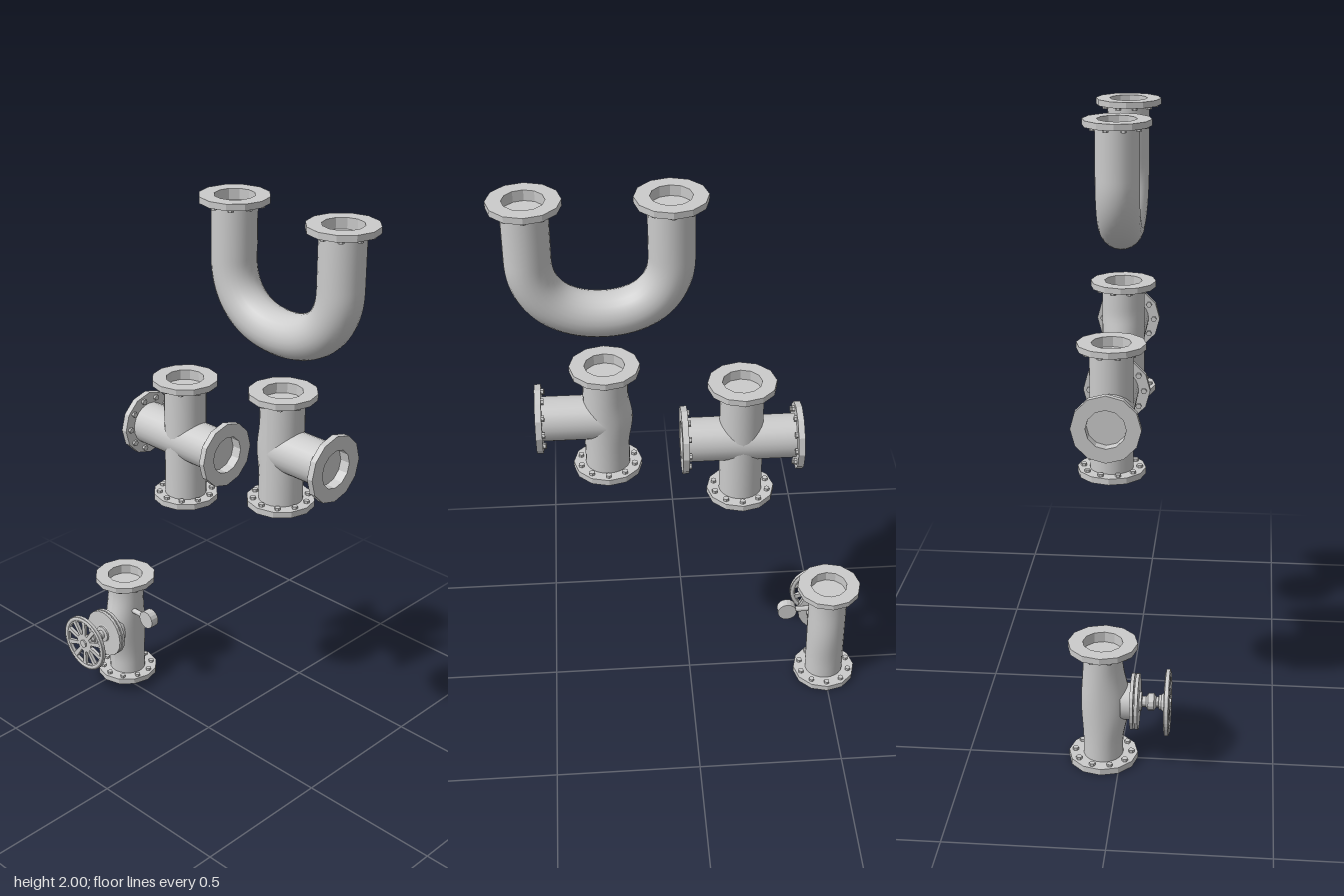
import * as THREE from 'three';

const FLANGE_R = 0.113, BORE_R = 0.065, PIPE_R = 0.073;
const V = (x, y, z = 0) => new THREE.Vector3(x, y, z);
const smooth = new THREE.MeshStandardMaterial({ color: 0xcccccc });
const faceted = new THREE.MeshStandardMaterial({ color: 0xcccccc, flatShading: true });

function add(parent, name, geometry, material = smooth) {
  const mesh = new THREE.Mesh(geometry, material);
  mesh.name = name;
  parent.add(mesh);
  return mesh;
}

function lathe(points, sides) {
  return new THREE.LatheGeometry(points.map(([r, y]) => new THREE.Vector2(r, y)), sides);
}

// Flange facing +y with a recessed bore and a ring of bolts behind it
function addFlange(parent, position, direction) {
  const flange = new THREE.Group();
  flange.name = 'flange';
  add(flange, 'flangeRing', lathe([
    [0.055, -0.021], [FLANGE_R, -0.021], [FLANGE_R, 0], [BORE_R, 0], [BORE_R, -0.035], [0, -0.035],
  ], 12), faceted);
  const bolt = new THREE.CylinderGeometry(0.01, 0.01, 0.01, 6);
  for (let i = 0; i < 10; i++) {
    const a = (i + 0.5) / 10 * Math.PI * 2;
    add(flange, 'bolt', bolt, faceted).position.set(Math.cos(a) * 0.092, -0.025, Math.sin(a) * 0.092);
  }
  flange.position.copy(position);
  flange.quaternion.setFromUnitVectors(V(0, 1), direction);
  parent.add(flange);
}

// Straight pipe between two points, stopping just inside the flanges
function addPipe(parent, name, from, to, radius = PIPE_R) {
  const span = to.clone().sub(from);
  const pipe = add(parent, name, new THREE.CylinderGeometry(radius, radius, span.length(), 24, 24, true));
  pipe.position.copy(from).addScaledVector(span, 0.5);
  pipe.quaternion.setFromUnitVectors(V(0, 1), span.normalize());
  return pipe;
}

// Push vertices by a rule, then refresh the normals
function deform(mesh, rule) {
  const p = mesh.geometry.attributes.position, v = V(0, 0);
  for (let i = 0; i < p.count; i++) {
    v.fromBufferAttribute(p, i);
    rule(v);
    p.setXYZ(i, v.x, v.y, v.z);
  }
  mesh.geometry.computeVertexNormals();
}
const bump = (y, half) => Math.abs(y) < half ? 0.5 + 0.5 * Math.cos(Math.PI * y / half) : 0;

function makeUBend() {
  const g = new THREE.Group();
  g.name = 'uBend';
  const w = 0.218, top = 0.2, drop = -0.198;
  const path = new THREE.CurvePath();
  path.add(new THREE.LineCurve3(V(-w, top - 0.015), V(-w, 0)));
  path.add(new THREE.CubicBezierCurve3(V(-w, 0), V(-w, -0.128), V(-0.125, drop), V(0, drop)));
  path.add(new THREE.CubicBezierCurve3(V(0, drop), V(0.125, drop), V(w, -0.128), V(w, 0)));
  path.add(new THREE.LineCurve3(V(w, 0), V(w, top - 0.015)));
  add(g, 'bentPipe', new THREE.TubeGeometry(path, 64, PIPE_R, 24));
  for (const s of [-1, 1]) addFlange(g, V(s * w, top), V(0, 1));
  g.position.set(0.275, 1.8, 0);
  return g;
}

function makeCross() {
  const g = new THREE.Group();
  g.name = 'crossFitting';
  addPipe(g, 'verticalPipe', V(0, -0.21), V(0, 0.21), 0.072);
  addPipe(g, 'horizontalPipe', V(-0.185, 0), V(0.185, 0), 0.074);
  for (const s of [-1, 1]) {
    addFlange(g, V(0, s * 0.224), V(0, s));
    addFlange(g, V(s * 0.199, 0), V(s, 0));
  }
  g.position.set(-0.167, 1.101, 0);
  return g;
}

function makeTee() {
  const g = new THREE.Group();
  g.name = 'teeFitting';
  const body = addPipe(g, 'verticalPipe', V(0, -0.185), V(0, 0.185));
  // Swelling opposite the branch
  deform(body, v => { if (v.x < 0) v.x *= 1 + 0.18 * bump(v.y, 0.1); });
  addPipe(g, 'branchPipe', V(0, 0), V(0.215, 0));
  for (const s of [-1, 1]) addFlange(g, V(0, s * 0.199), V(0, s));
  addFlange(g, V(0.228, 0), V(1, 0));
  g.position.set(0.275, 1.211, 0);
  return g;
}

function makeHandwheel() {
  const g = new THREE.Group();
  g.name = 'handwheel';
  const disc = new THREE.Shape().absarc(0, 0, 0.107, 0, Math.PI * 2);
  const count = 10, step = Math.PI * 2 / count;
  for (let i = 0; i < count; i++) {
    const a = i * step, hole = new THREE.Path();
    hole.absarc(0, 0, 0.087, a - step * 0.34, a + step * 0.34, false);
    hole.absarc(0, 0, 0.036, a + step * 0.22, a - step * 0.22, true);
    hole.closePath();
    disc.holes.push(hole);
  }
  add(g, 'wheel', new THREE.ExtrudeGeometry(disc, { depth: 0.012, bevelEnabled: false, curveSegments: 24 }), faceted);
  add(g, 'rim', new THREE.TorusGeometry(0.098, 0.009, 8, 32)).position.z = 0.006;
  const nut = add(g, 'hubNut', new THREE.CylinderGeometry(0.016, 0.016, 0.012, 6), faceted);
  nut.rotation.x = Math.PI / 2;
  nut.position.z = 0.012;
  return g;
}

function makeValve() {
  const g = new THREE.Group();
  g.name = 'gateValve';
  const body = addPipe(g, 'valveBody', V(0, -0.2), V(0, 0.2), 0.069);
  // Body swells slightly at the back and more towards the bonnet
  deform(body, v => { v.z *= 0.94 + (v.z > 0 ? 0.34 : 0.1) * bump(v.y, 0.15); });
  for (const s of [-1, 1]) addFlange(g, V(0, s * 0.2125), V(0, s));

  // Bonnet flanges
  for (const z of [0.097, 0.112]) {
    const plate = add(g, 'bonnetFlange', new THREE.CylinderGeometry(0.091, 0.091, 0.011, 20), faceted);
    plate.rotation.x = Math.PI / 2;
    plate.position.z = z;
  }
  const collar = add(g, 'bonnetCollar', new THREE.CylinderGeometry(0.06, 0.06, 0.05, 20));
  collar.rotation.x = Math.PI / 2;
  collar.position.z = 0.085;

  // Turned stem from bonnet to handwheel
  const stem = add(g, 'stem', lathe([
    [0.045, 0.115], [0.031, 0.119], [0.031, 0.126], [0.017, 0.128], [0.017, 0.14],
    [0.028, 0.147], [0.028, 0.166], [0.017, 0.173], [0.017, 0.18],
    [0.025, 0.182], [0.025, 0.19], [0.036, 0.204], [0, 0.206],
  ], 12), faceted);
  stem.rotation.x = Math.PI / 2;
  const wheel = makeHandwheel();
  wheel.position.z = 0.204;
  g.add(wheel);

  // Side gauge
  const tube = add(g, 'gaugeTube', new THREE.CylinderGeometry(0.01, 0.01, 0.08, 10));
  tube.rotation.z = Math.PI / 2;
  tube.position.set(0.09, 0.085, 0.018);
  const gauge = add(g, 'gauge', new THREE.CylinderGeometry(0.034, 0.034, 0.032, 16), faceted);
  gauge.rotation.x = Math.PI / 2;
  gauge.position.set(0.146, 0.085, 0.018);

  g.position.set(-0.498, 0.2125, 0);
  return g;
}

export function createModel() {
  const model = new THREE.Group();
  model.name = 'pipeFittings';
  for (const part of [makeUBend(), makeCross(), makeTee(), makeValve()]) {
    part.position.z = -0.056;
    model.add(part);
  }
  return model;
}
